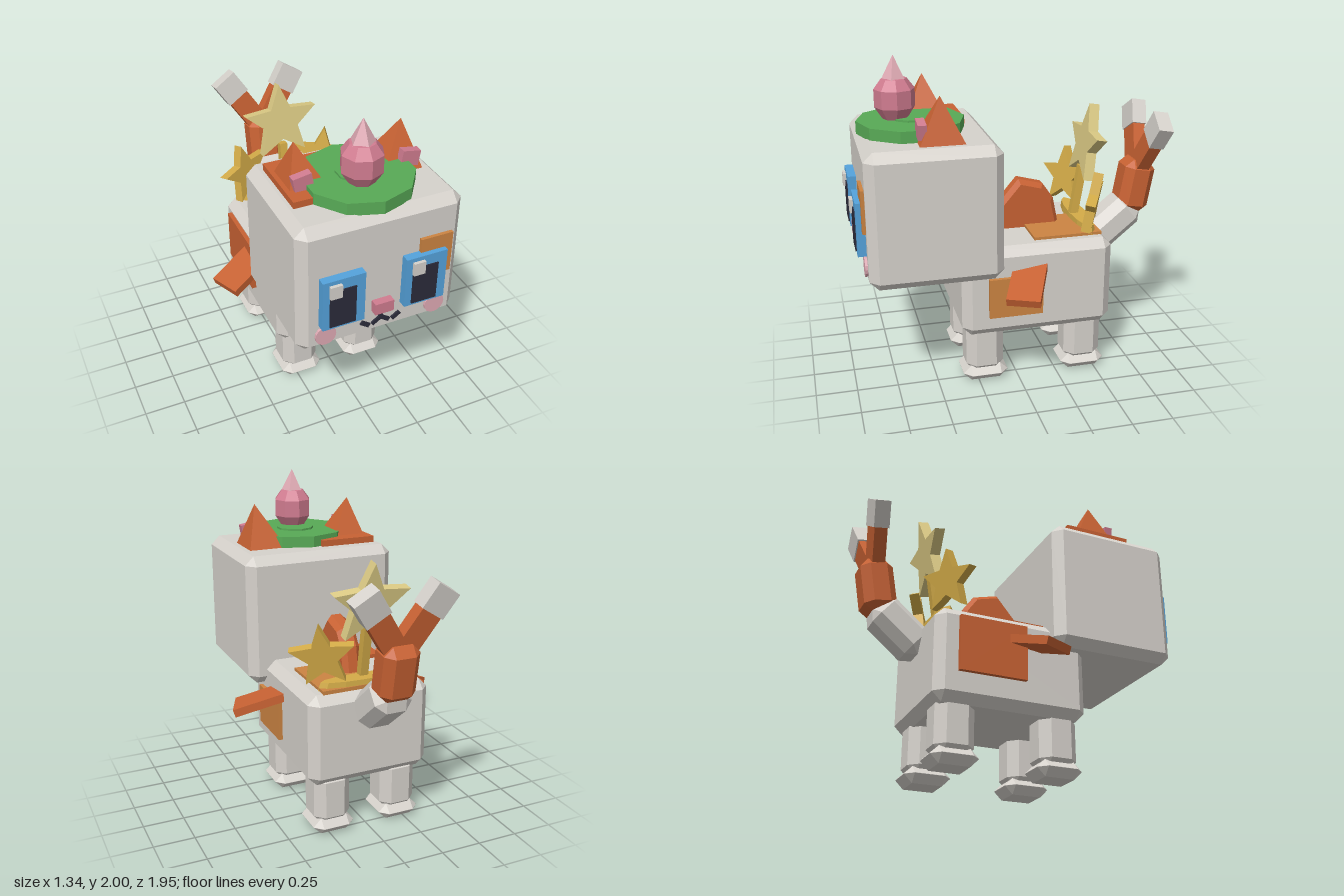
import * as THREE from 'three';
import { ConvexGeometry } from 'three/addons/geometries/ConvexGeometry.js';

const mat = (name, color) => {
  const m = new THREE.MeshStandardMaterial({ color });
  m.name = name;
  return m;
};

export function createModel() {
  const root = new THREE.Group();
  root.name = 'blockCat';
  const cream = mat('cream', 0xd6d2cc), blue = mat('blue', 0x55a3dc), rust = mat('rust', 0xc86233);
  const tan = mat('tan', 0xcc8442), green = mat('green', 0x58aa56), pink = mat('pink', 0xd07c90);
  const palePink = mat('palePink', 0xdfaab4), dark = mat('dark', 0x2b2b3a);
  const gold = mat('gold', 0xd4ac48), paleGold = mat('paleGold', 0xdccb85);

  // Faceted mesh with sharp edges
  function add(name, geo, material, pos = [0, 0, 0], rot = [0, 0, 0], parent = root) {
    const g = geo.index ? geo.toNonIndexed() : geo;
    g.computeVertexNormals();
    const m = new THREE.Mesh(g, material);
    m.name = name;
    m.position.set(...pos);
    m.rotation.set(...rot);
    parent.add(m);
    return m;
  }
  const box = (w, h, d) => new THREE.BoxGeometry(w, h, d);

  // Box given by its extents on each axis
  function span(name, material, [x0, x1], [y0, y1], [z0, z1]) {
    return add(name, box(x1 - x0, y1 - y0, z1 - z0), material,
      [(x0 + x1) / 2, (y0 + y1) / 2, (z0 + z1) / 2]);
  }

  // Box with every edge cut flat
  function chamferBox(w, h, d, c) {
    const pts = [];
    for (const x of [-1, 1]) for (const y of [-1, 1]) for (const z of [-1, 1]) {
      const X = w / 2, Y = h / 2, Z = d / 2;
      pts.push(new THREE.Vector3(x * X, y * (Y - c), z * (Z - c)),
        new THREE.Vector3(x * (X - c), y * Y, z * (Z - c)),
        new THREE.Vector3(x * (X - c), y * (Y - c), z * Z));
    }
    return new ConvexGeometry(pts);
  }

  function starGeometry(r, depth) {
    const pts = [];
    for (let i = 0; i < 10; i++) {
      const a = Math.PI / 2 + i * Math.PI / 5, q = i % 2 ? r * 0.45 : r;
      pts.push(new THREE.Vector2(Math.cos(a) * q, Math.sin(a) * q));
    }
    const g = new THREE.ExtrudeGeometry(new THREE.Shape(pts), { depth, bevelEnabled: false });
    return g.translate(0, 0, -depth / 2);
  }

  // Head, body, legs and feet
  add('head', chamferBox(0.98, 0.815, 0.785, 0.055), cream, [0, 1.153, 0.512]);
  add('body', chamferBox(0.77, 0.565, 0.935, 0.055), cream, [0, 0.618, -0.112]);
  for (const x of [-0.218, 0.218]) for (const z of [0.205, -0.425]) {
    add('leg', chamferBox(0.23, 0.34, 0.235, 0.055), cream, [x, 0.225, z]);
    add('foot', chamferBox(0.26, 0.1, 0.28, 0.049), cream, [x, 0.052, z]);
  }

  // Eyes
  for (const x of [-0.25, 0.245]) {
    span('eye', blue, [x - 0.125, x + 0.125], [0.935, 1.255], [0.89, 0.955]);
    span('pupil', dark, [x - 0.085, x + 0.07], [0.95, 1.19], [0.954, 0.962]);
    span('eyeHighlight', cream, [x - 0.088, x - 0.018], [1.15, 1.23], [0.954, 0.975]);
  }

  // Nose, mouth and cheeks
  span('nose', pink, [-0.057, 0.057], [0.933, 1.005], [0.89, 0.952]);
  span('mouthStem', dark, [-0.012, 0.012], [0.87, 0.935], [0.89, 0.915]);
  for (const s of [-1, 1]) {
    add('mouthInner', box(0.065, 0.024, 0.025), dark, [s * 0.026, 0.857, 0.903], [0, 0, -s * 0.6]);
    add('mouthOuter', box(0.06, 0.026, 0.025), dark, [s * 0.095, 0.853, 0.903], [0, 0, s * 0.6]);
    add('cheek', new THREE.CylinderGeometry(0.062, 0.062, 0.03, 16), palePink,
      [s * 0.338, 0.863, 0.905], [Math.PI / 2, 0, 0]);
  }

  // Coat patches
  span('facePatch', tan, [0.22, 0.415], [1.085, 1.34], [0.88, 0.925]);
  span('crownPatch', rust, [-0.415, -0.055], [1.54, 1.6], [0.245, 0.675]);
  span('leftPatch', tan, [0.37, 0.41], [0.47, 0.72], [-0.13, 0.2]);
  span('rightPatch', rust, [-0.413, -0.37], [0.508, 0.84], [-0.45, -0.04]);
  span('backPatchFront', rust, [-0.295, 0.02], [0.88, 0.925], [-0.1, 0.16]);
  span('backPatchRear', tan, [-0.06, 0.29], [0.88, 0.918], [-0.53, -0.105]);

  // Ears: four-sided pyramids with the tip moved outward
  for (const s of [-1, 1]) {
    const pts = [new THREE.Vector3(s * 0.32, 1.825, 0.455)];
    for (const x of [0.16, 0.4]) for (const z of [0.325, 0.585]) pts.push(new THREE.Vector3(s * x, 1.56, z));
    add('ear', new ConvexGeometry(pts), rust);
    add('innerEar', box(0.11, 0.09, 0.05), pink, [s * 0.32, 1.642, 0.565], [0, 0, -s * 0.17]);
  }

  // Lily pad and flower bud
  add('lilyPad', new THREE.CylinderGeometry(0.32, 0.32, 0.075, 10), green, [0, 1.592, 0.578]);
  add('padCentre', new THREE.CylinderGeometry(0.12, 0.12, 0.015, 10), green, [0, 1.634, 0.57]);
  const bud = [[0, 1.62], [0.075, 1.63], [0.12, 1.7], [0.12, 1.805], [0.075, 1.865], [0, 1.875]];
  add('flowerBud', new THREE.LatheGeometry(bud.map(p => new THREE.Vector2(...p)), 8), pink,
    [-0.02, 0, 0.663]);
  add('budTip', new THREE.ConeGeometry(0.105, 0.2, 5), palePink, [-0.02, 1.9, 0.663]);

  // Back fin
  const fin = new THREE.Shape([[-0.06, 0.9], [-0.03, 1.05], [0.08, 1.18], [0.21, 1.145], [0.27, 1.06], [0.305, 0.9]]
    .map(p => new THREE.Vector2(...p)));
  const finGeo = new THREE.ExtrudeGeometry(fin,
    { depth: 0.06, bevelSize: 0.027, bevelThickness: 0.03, bevelSegments: 1 });
  add('backFin', finGeo.translate(0, 0, -0.03), rust, [0, 0, 0], [0, Math.PI / 2, 0]);

  // Side flippers
  for (const s of [-1, 1]) {
    const f = add('flipper', box(0.33, 0.05, 0.2), rust, [s * 0.478, 0.708, -0.01]);
    f.rotation.set(0, -s * 0.41, -s * 0.33, 'YXZ');
  }

  // Tail with forked tip
  add('tailBase', chamferBox(0.23, 0.37, 0.22, 0.055), cream, [0, 0.87, -0.69], [-0.88, 0, 0]);
  add('tailMiddle', chamferBox(0.22, 0.34, 0.2, 0.05), rust, [0, 1.11, -0.84], [-0.17, 0, 0]);
  for (const s of [-1, 1]) {
    const prong = new THREE.Group();
    prong.name = 'tailProng';
    prong.position.set(0, 1.2, -0.855);
    prong.rotation.set(-0.17, 0, -s * 0.57);
    root.add(prong);
    add('prong', box(0.14, 0.34, 0.08), rust, [0, 0.13, 0], [0, 0, 0], prong);
    add('prongTip', box(0.16, 0.16, 0.095), cream, [0, 0.37, 0], [0, 0, 0], prong);
  }

  // Star ornament on the rump
  const base = add('starBase', new THREE.CylinderGeometry(0.28, 0.3, 0.06, 12), gold, [0, 0.92, -0.47]);
  base.scale.z = 0.2;
  add('starPost', box(0.05, 0.34, 0.05), gold, [0, 1.09, -0.465], [-0.16, 0, 0]);
  add('middleStar', starGeometry(0.25, 0.065), paleGold, [0, 1.4, -0.52], [-0.17, 0, 0]);
  for (const s of [-1, 1]) {
    const star = add('sideStar', starGeometry(0.195, 0.06), gold, [s * 0.27, 1.11, -0.475]);
    star.rotation.set(-0.17, -s * 0.45, -s * 0.12, 'YXZ');
  }

  return root;
}
